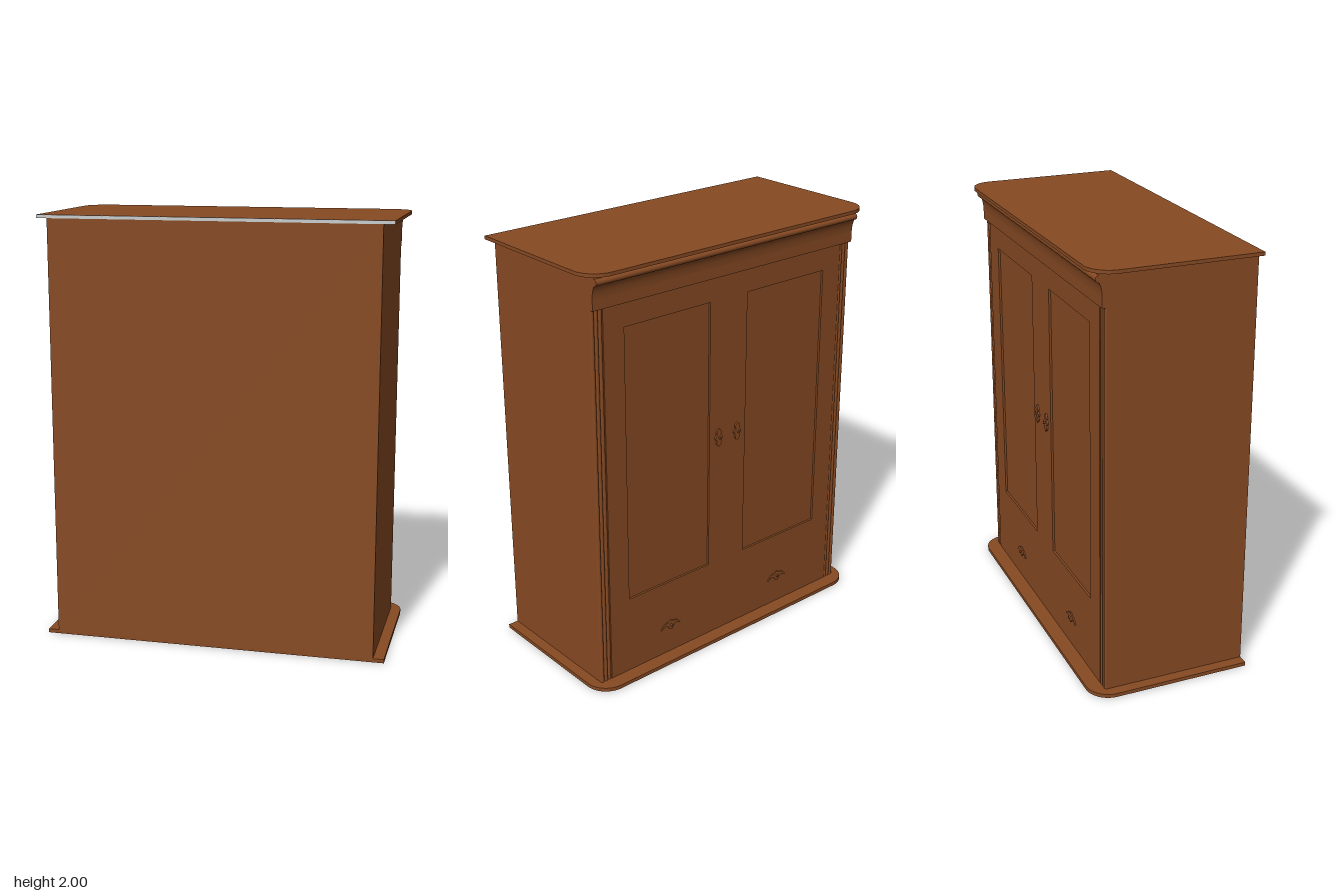
import * as THREE from 'three';

const wood = new THREE.MeshStandardMaterial({ color: 0x874a23 });
wood.name = 'brown wood';
const pale = new THREE.MeshStandardMaterial({ color: 0xc8cccc });
pale.name = 'pale edge';

const FACE = -0.31; // the door side looks towards -z

function add(group, name, geometry, x = 0, y = 0, z = 0, material = wood) {
  const mesh = new THREE.Mesh(geometry, material);
  mesh.name = name;
  mesh.position.set(x, y, z);
  group.add(mesh);
  return mesh;
}

function extrude(shape, depth) {
  return new THREE.ExtrudeGeometry(shape, { depth, bevelEnabled: false, curveSegments: 12 });
}

// Flat board with the two corners on the door side rounded
function board(thickness) {
  const w = 0.81, d = 0.38, r = 0.11;
  const s = new THREE.Shape();
  s.moveTo(-w, -d);
  s.lineTo(w, -d);
  s.lineTo(w, d - r);
  s.absarc(w - r, d - r, r, 0, Math.PI / 2, false);
  s.lineTo(-w + r, d);
  s.absarc(-w + r, d - r, r, Math.PI / 2, Math.PI, false);
  s.closePath();
  return extrude(s, thickness).rotateX(-Math.PI / 2);
}

function rectangle(Type, x0, y0, x1, y1) {
  return new Type([[x0, y0], [x1, y0], [x1, y1], [x0, y1]].map(p => new THREE.Vector2(...p)));
}

// Moulding profile: u points out from the face, v is height
function cornice() {
  const s = new THREE.Shape();
  s.moveTo(0.29, 1.83);
  s.lineTo(0.323, 1.83);
  s.lineTo(0.323, 1.88);
  s.quadraticCurveTo(0.325, 1.925, 0.338, 1.94);
  s.absarc(0.338, 1.955, 0.015, -Math.PI / 2, Math.PI / 2, false);
  s.lineTo(0.335, 1.984);
  s.lineTo(0.29, 1.984);
  s.closePath();
  return extrude(s, 1.52).rotateY(Math.PI / 2).translate(-0.76, 0, 0);
}

// Tall scrolled plate with a small turned knob
function doorHandle() {
  const g = new THREE.Group();
  g.name = 'doorHandle';
  const s = new THREE.Shape();
  s.moveTo(0, -0.045);
  s.quadraticCurveTo(0.022, -0.03, 0.01, -0.015);
  s.quadraticCurveTo(0.034, 0, 0.01, 0.015);
  s.quadraticCurveTo(0.022, 0.03, 0, 0.045);
  s.quadraticCurveTo(-0.022, 0.03, -0.01, 0.015);
  s.quadraticCurveTo(-0.034, 0, -0.01, -0.015);
  s.quadraticCurveTo(-0.022, -0.03, 0, -0.045);
  add(g, 'handlePlate', extrude(s, 0.008), 0, 0, -0.008);
  add(g, 'knob', new THREE.CylinderGeometry(0.006, 0.005, 0.012, 12).rotateX(-Math.PI / 2), 0, 0, -0.012);
  return g;
}

// Wide arched plate with a knob in the middle
function drawerPull() {
  const g = new THREE.Group();
  g.name = 'drawerPull';
  const s = new THREE.Shape();
  s.moveTo(-0.06, -0.012);
  s.quadraticCurveTo(-0.03, 0.008, -0.016, -0.008);
  s.quadraticCurveTo(0, -0.042, 0.016, -0.008);
  s.quadraticCurveTo(0.03, 0.008, 0.06, -0.012);
  s.quadraticCurveTo(0.04, 0.02, 0.018, 0.016);
  s.quadraticCurveTo(0, 0.034, -0.018, 0.016);
  s.quadraticCurveTo(-0.04, 0.02, -0.06, -0.012);
  add(g, 'pullPlate', extrude(s, 0.006), 0, 0, -0.006);
  add(g, 'knob', new THREE.CylinderGeometry(0.006, 0.005, 0.012, 12).rotateX(-Math.PI / 2), 0, 0, -0.01);
  return g;
}

export function createModel() {
  const model = new THREE.Group();
  model.name = 'wardrobe';

  // Carcass between a base board and a top board
  add(model, 'carcass', new THREE.BoxGeometry(1.52, 1.97, 0.68), 0, 1.0, 0.04);
  add(model, 'baseBoard', board(0.018));
  add(model, 'topBoard', board(0.016), 0, 1.984, 0);
  add(model, 'topRearEdge', new THREE.BoxGeometry(1.62, 0.015, 0.002), 0, 1.992, 0.38, pale);

  // Door frame with two sunken panels; the carcass shows through as the panels
  const frame = rectangle(THREE.Shape, -0.7, 0.018, 0.7, 1.84);
  frame.holes.push(
    rectangle(THREE.Path, 0.11, 0.4, 0.59, 1.72),
    rectangle(THREE.Path, -0.59, 0.4, -0.11, 1.72)
  );
  add(model, 'doorFrame', extrude(frame, 0.012), 0, 0, FACE);
  add(model, 'cornice', cornice());

  for (const side of [-1, 1]) {
    // Reeded corner strips
    for (const x of [0.71, 0.73, 0.75]) {
      add(model, 'cornerReed', new THREE.CylinderGeometry(0.01, 0.01, 1.82, 12), side * x, 0.925, -0.3);
    }
    // Fittings
    const handle = doorHandle();
    handle.position.set(side * 0.057, 1.055, FACE);
    const pull = drawerPull();
    pull.position.set(side * 0.347, 0.165, FACE);
    model.add(handle, pull);
  }
  return model;
}
